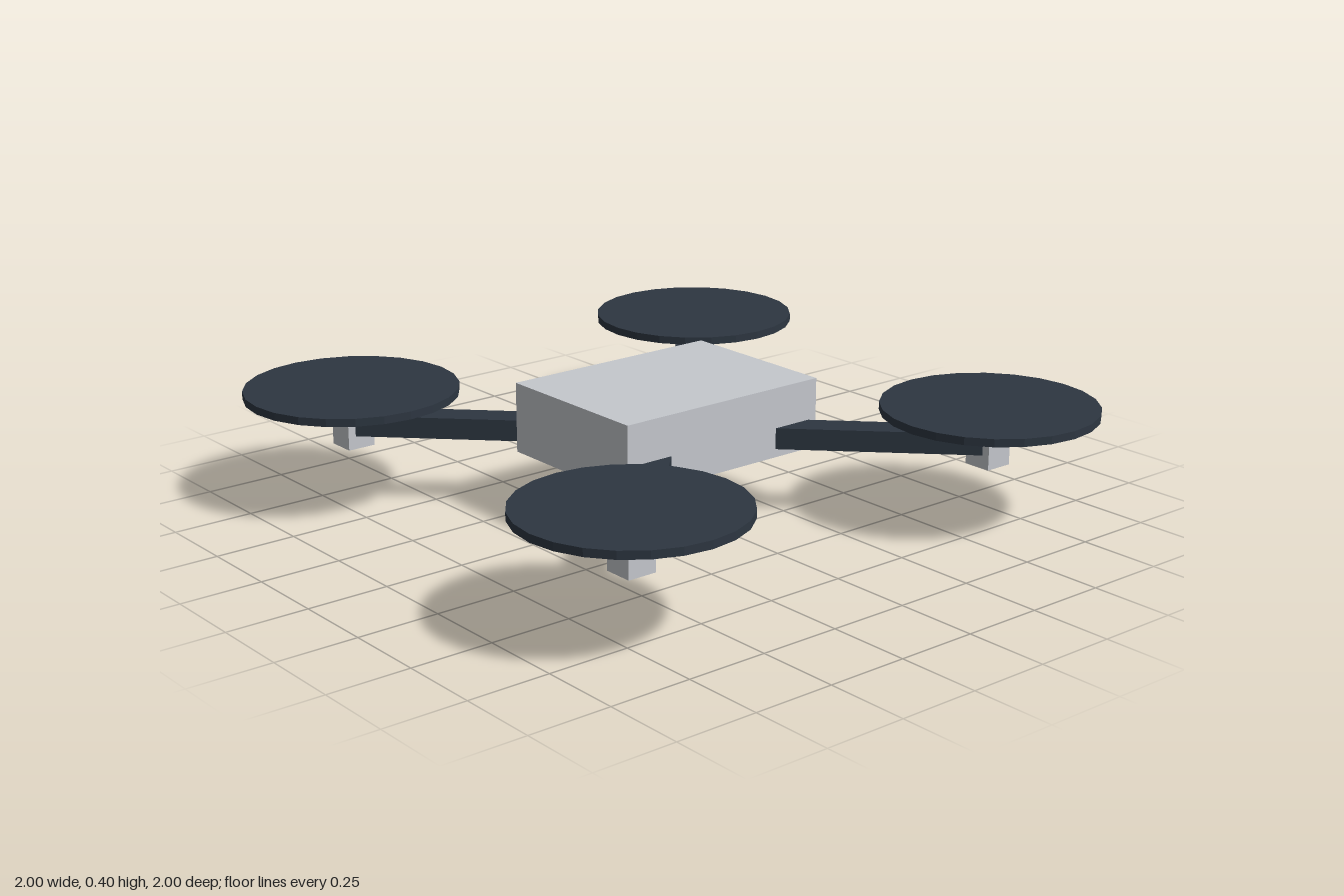
import * as THREE from 'three';

export function createModel() {
  const model = new THREE.Group();
  model.name = 'quadcopter';

  const material = (name, color) => {
    const m = new THREE.MeshStandardMaterial({ color, flatShading: true });
    m.name = name;
    return m;
  };
  const grey = material('light grey', 0xc5c8cd);
  const dark = material('dark slate', 0x2d3641);
  const teal = material('teal glass', 0x58a2b1);

  const add = (parent, name, geometry, mat, x, y, z) => {
    const mesh = new THREE.Mesh(geometry, mat);
    mesh.name = name;
    mesh.position.set(x, y, z);
    parent.add(mesh);
    return mesh;
  };
  const box = (w, h, d) => new THREE.BoxGeometry(w, h, d);

  // Central body
  add(model, 'body', box(0.72, 0.215, 0.53), grey, 0, 0.2925, 0);

  // Camera slung under the body, looking backwards
  const camera = new THREE.Group();
  camera.name = 'cameraPod';
  add(camera, 'cameraHousing', box(0.24, 0.2, 0.24), dark, 0, 0.1, -0.167);
  add(camera, 'cameraLens', box(0.145, 0.115, 0.06), teal, 0, 0.0975, -0.295);
  model.add(camera);

  // Four diagonal arms, each with a motor and a rotor disc
  const hub = 0.675;
  const inner = 0.16;
  const middle = (hub + inner) / 2;
  const armGeometry = box((hub - inner) * Math.SQRT2, 0.065, 0.092);
  const motorGeometry = box(0.09, 0.15, 0.09);
  const rotorGeometry = new THREE.CylinderGeometry(0.325, 0.325, 0.024, 24);
  for (const sx of [1, -1]) {
    for (const sz of [1, -1]) {
      const unit = new THREE.Group();
      unit.name = (sz > 0 ? 'front' : 'back') + (sx > 0 ? 'Left' : 'Right') + 'Rotor';
      const arm = add(unit, 'arm', armGeometry, dark, sx * middle, 0.243, sz * middle);
      arm.rotation.y = -sx * sz * Math.PI / 4;
      add(unit, 'motor', motorGeometry, grey, sx * hub, 0.245, sz * hub);
      add(unit, 'rotorDisc', rotorGeometry, dark, sx * hub, 0.342, sz * hub);
      model.add(unit);
    }
  }

  return model;
}
